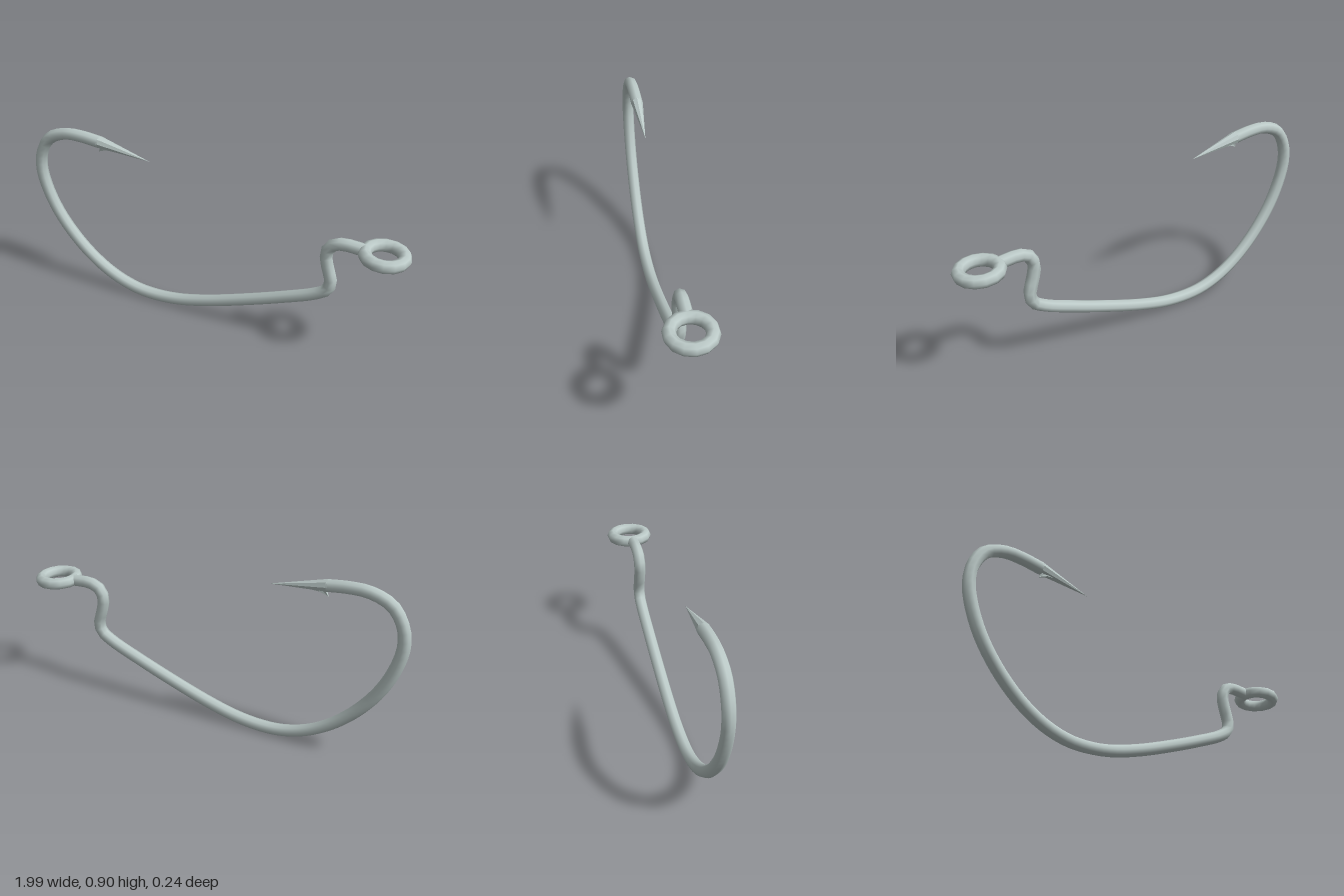
import * as THREE from 'three';

const WIRE = 0.031;

export function createModel() {
  const group = new THREE.Group();
  group.name = 'fishHook';
  const steel = new THREE.MeshStandardMaterial({ color: 0xbccac8 });
  const facetedSteel = new THREE.MeshStandardMaterial({ color: 0xbccac8, flatShading: true });

  const add = (name, geometry, material = steel) => {
    const mesh = new THREE.Mesh(geometry, material);
    mesh.name = name;
    group.add(mesh);
    return mesh;
  };

  // Bent wire: eye, offset crook, straight shank, wide bend, point
  const path = [
    [0.785, 0.612], [0.73, 0.616], [0.68, 0.617], [0.63, 0.6], [0.602, 0.55],
    [0.612, 0.48], [0.634, 0.4], [0.62, 0.35], [0.565, 0.311], [0.4, 0.24],
    [0.2, 0.163], [0, 0.094], [-0.17, 0.05], [-0.32, 0.036], [-0.43, 0.046],
    [-0.55, 0.085], [-0.67, 0.157], [-0.79, 0.268], [-0.89, 0.405],
    [-0.95, 0.545], [-0.969, 0.65], [-0.955, 0.738], [-0.9, 0.825],
    [-0.8, 0.868], [-0.7, 0.872], [-0.6, 0.862],
  ].map(([x, y]) => new THREE.Vector3(x, y, 0));
  const curve = new THREE.CatmullRomCurve3(path, false, 'centripetal');
  add('wire', new THREE.TubeGeometry(curve, 72, WIRE, 8));

  // Closed ring lying flat, tipped slightly down toward its outer side
  const eye = add('eye', new THREE.TorusGeometry(0.091, WIRE, 8, 14).rotateX(Math.PI / 2));
  eye.position.set(0.873, 0.609, 0);
  eye.rotation.z = -0.05;

  // Sharpened point continuing the wire
  const base = new THREE.Vector3(-0.605, 0.863, 0);
  const tip = new THREE.Vector3(-0.32, 0.815, 0);
  const along = tip.clone().sub(base);
  const point = add('point', new THREE.ConeGeometry(WIRE, along.length(), 8), facetedSteel);
  point.position.copy(base).add(tip).multiplyScalar(0.5);
  point.quaternion.setFromUnitVectors(new THREE.Vector3(0, 1, 0), along.normalize());

  // Barb: a thin sliver raised backward from the underside of the point
  const outline = new THREE.Shape([
    [-0.607, 0.811], [-0.565, 0.829], [-0.47, 0.834], [-0.55, 0.86], [-0.59, 0.848],
  ].map(([x, y]) => new THREE.Vector2(x, y)));
  const barbGeometry = new THREE.ExtrudeGeometry(outline, { depth: 0.024, bevelEnabled: false });
  barbGeometry.translate(0, 0, -0.012);
  const pos = barbGeometry.attributes.position;
  for (let i = 0; i < pos.count; i++) {
    // Narrow the sliver to an edge at its lower tip
    const keep = THREE.MathUtils.clamp((pos.getY(i) - 0.806) / 0.03, 0.1, 1);
    pos.setZ(i, pos.getZ(i) * keep);
  }
  barbGeometry.computeVertexNormals();
  add('barb', barbGeometry, facetedSteel);

  return group;
}
